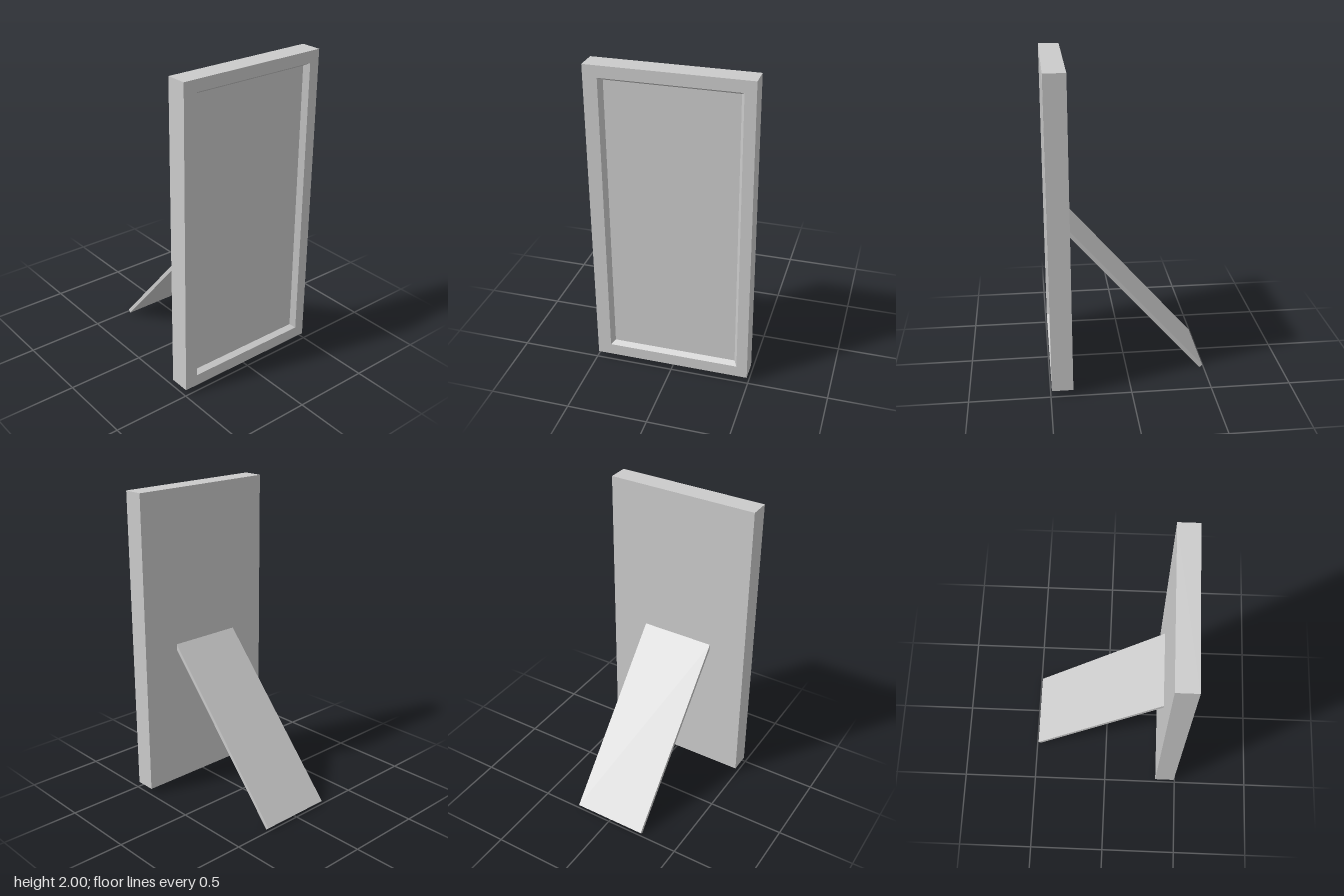
import * as THREE from 'three';

const material = new THREE.MeshStandardMaterial({ color: 0xcccccc, flatShading: true });

// Skins a stack of rectangles [x0, x1, y0, y1, z] and caps both ends.
function loftRectangles(rects) {
  const positions = [];
  const index = [0, 2, 1, 0, 3, 2];
  rects.forEach(([x0, x1, y0, y1, z], k) => {
    positions.push(x0, y0, z, x1, y0, z, x1, y1, z, x0, y1, z);
    if (k === 0) return;
    for (let i = 0; i < 4; i++) {
      const j = (i + 1) % 4;
      const a = (k - 1) * 4 + i, b = (k - 1) * 4 + j;
      const c = k * 4 + j, d = k * 4 + i;
      index.push(a, b, c, a, c, d);
    }
  });
  const n = (rects.length - 1) * 4;
  index.push(n, n + 1, n + 2, n, n + 2, n + 3);
  const indexed = new THREE.BufferGeometry();
  indexed.setAttribute('position', new THREE.Float32BufferAttribute(positions, 3));
  indexed.setIndex(index);
  const geometry = indexed.toNonIndexed();
  geometry.computeVertexNormals();
  return geometry;
}

export function createModel() {
  const model = new THREE.Group();
  model.name = 'pictureFrame';

  // Frame: solid slab with a shallow, bevelled picture recess in the front
  const frame = new THREE.Mesh(loftRectangles([
    [-0.491, 0.491, 0.037, 2, 0.361],
    [-0.491, 0.491, 0.037, 2, 0.493],
    [-0.405, 0.424, 0.111, 1.928, 0.493],
    [-0.384, 0.403, 0.128, 1.908, 0.458],
  ]), material);
  frame.name = 'frame';
  model.add(frame);

  // Easel leg: thin board leaning out from the middle of the back
  const top = new THREE.Vector2(0.362, 0.998);    // (z, y) of the upper face
  const foot = new THREE.Vector2(-0.493, 0.017);
  const thickness = 0.024;
  const along = foot.clone().sub(top);
  const length = along.length();
  along.normalize();
  const mid = top.clone().add(foot).multiplyScalar(0.5)
    .add(new THREE.Vector2(-along.y, along.x).multiplyScalar(thickness / 2));
  const leg = new THREE.Mesh(new THREE.BoxGeometry(0.488, length, thickness), material);
  leg.name = 'easelLeg';
  leg.position.set(0, mid.y, mid.x);
  leg.rotation.x = Math.atan2(-along.x, -along.y);
  model.add(leg);

  return model;
}
